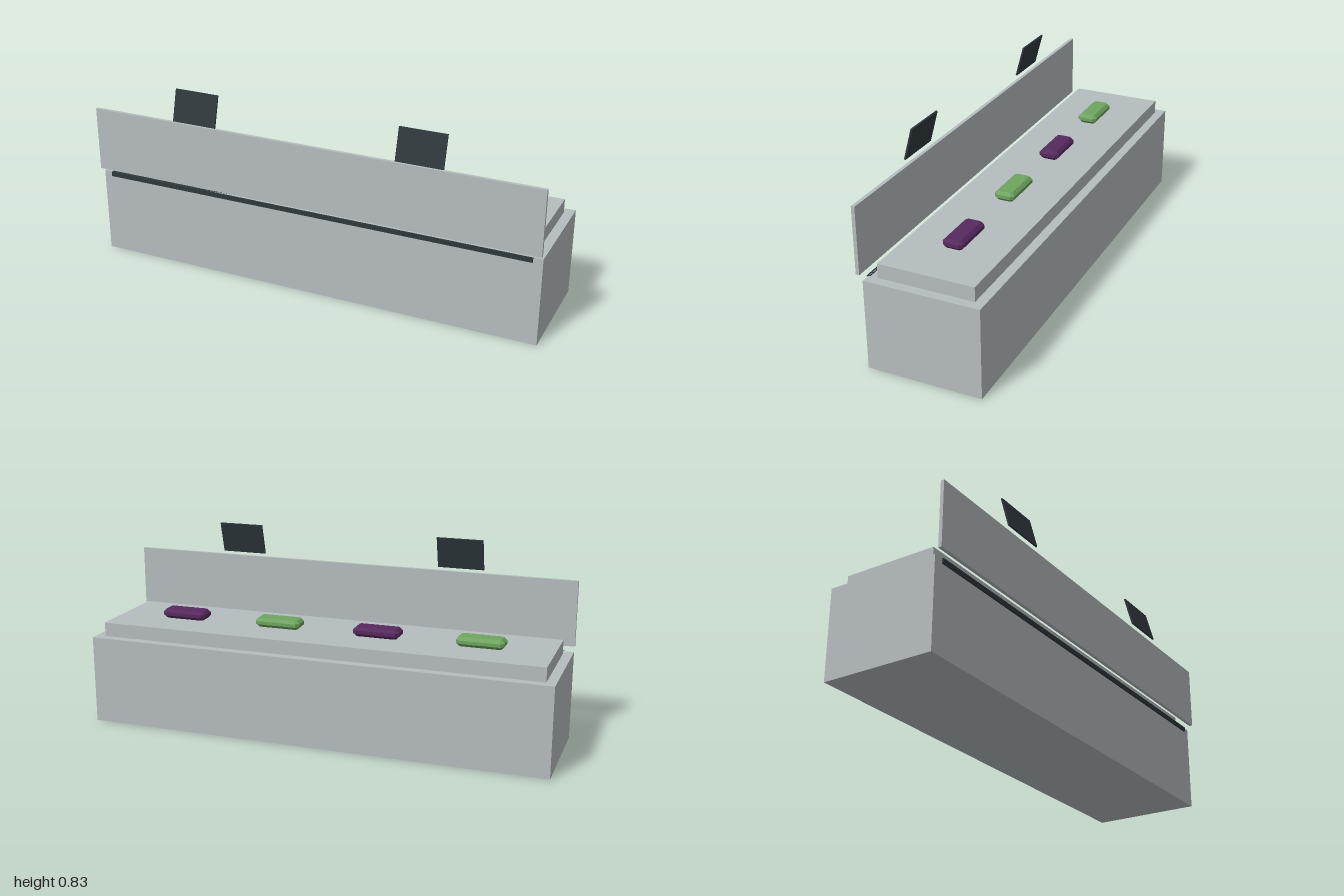
import * as THREE from 'three';

export function createModel() {
  const mat = (name, color) => {
    const m = new THREE.MeshStandardMaterial({ color });
    m.name = name;
    return m;
  };
  const grey = mat('pale grey', 0xb6bdbe);
  const dark = mat('dark slate', 0x2f383d);
  const green = mat('leaf green', 0x6fa55f);
  const purple = mat('deep purple', 0x562a5e);

  const model = new THREE.Group();
  model.name = 'servingCounter';

  const add = (name, geometry, material, x, y, z) => {
    const mesh = new THREE.Mesh(geometry, material);
    mesh.name = name;
    mesh.position.set(x, y, z);
    model.add(mesh);
    return mesh;
  };
  const box = (w, h, d) => new THREE.BoxGeometry(w, h, d);

  // Counter body, raised top, front guard panel and trim strip
  add('counterBody', box(2, 0.38, 0.48), grey, 0, 0.19, -0.02);
  add('raisedTop', box(1.92, 0.06, 0.4), grey, 0, 0.41, -0.02);
  add('guardPanel', box(2, 0.28, 0.015), grey, 0, 0.54, 0.24);
  add('trimStrip', box(1.92, 0.02, 0.016), dark, 0, 0.37, 0.219);

  // Leaning sign boards above the guard panel
  for (const x of [-0.5, 0.5]) {
    const sign = add('signBoard', box(0.2, 0.138, 0.007), dark, x, 0.7575, 0.241);
    sign.rotation.x = -0.262;
  }

  // Chamfered blocks on the raised top
  const a = 0.087, b = 0.031, c = 0.007, bevel = 0.013;
  const plan = new THREE.Shape([
    [a - c, -b], [a, -b + c], [a, b - c], [a - c, b],
    [-a + c, b], [-a, b - c], [-a, -b + c], [-a + c, -b],
  ].map(([x, y]) => new THREE.Vector2(x, y)));
  const block = new THREE.ExtrudeGeometry(plan, {
    depth: 0.014, bevelEnabled: true, bevelSegments: 1, bevelSize: bevel, bevelThickness: bevel,
  });
  block.translate(0, 0, -0.007).rotateX(-Math.PI / 2);
  [-0.66, -0.22, 0.22, 0.66].forEach((x, i) => {
    add('displayBlock', block, i % 2 ? purple : green, x, 0.46, -0.021);
  });

  return model;
}
